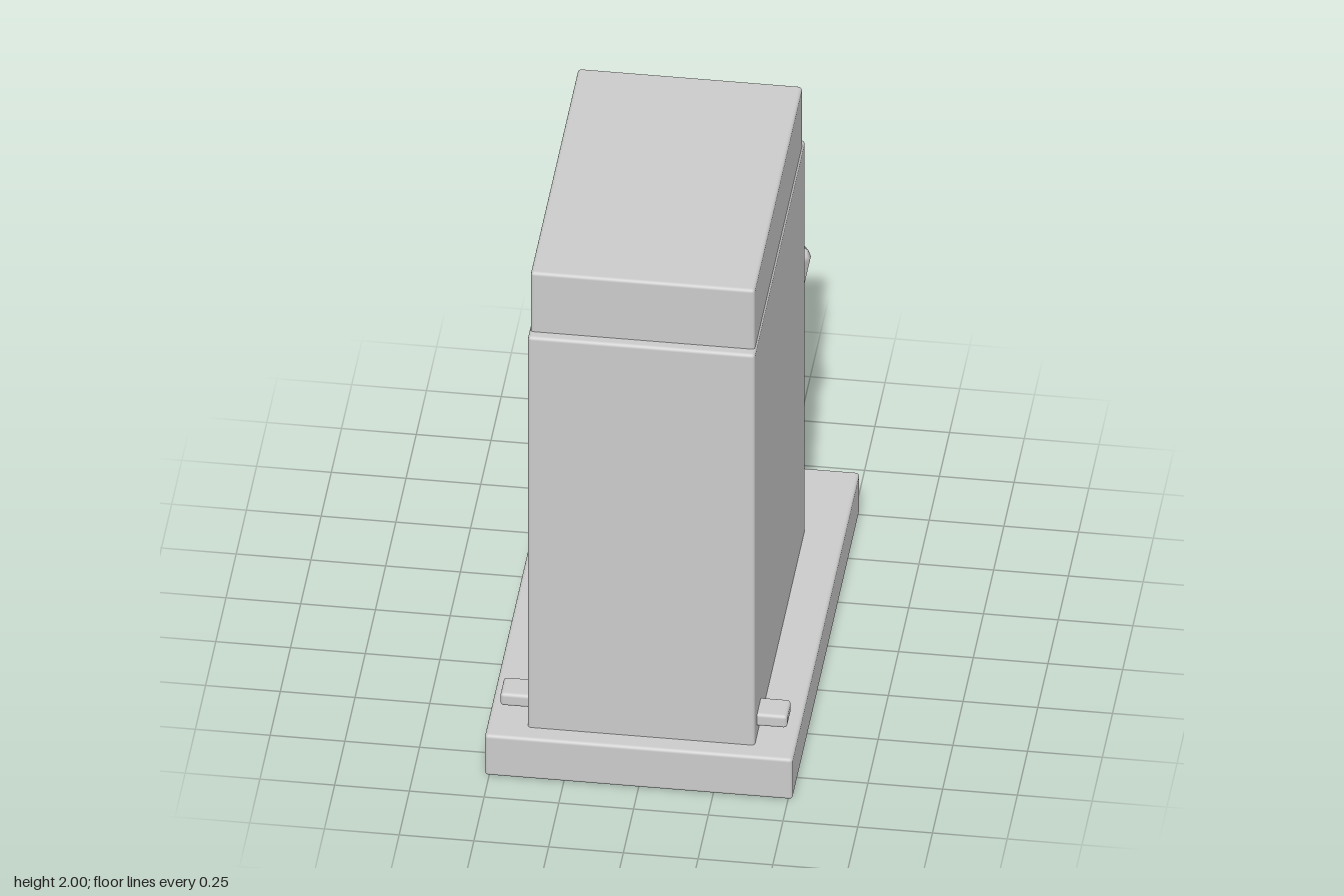
import * as THREE from 'three';
import { mergeVertices } from 'three/addons/utils/BufferGeometryUtils.js';
import { RoundedBoxGeometry } from 'three/addons/geometries/RoundedBoxGeometry.js';
import { ConvexGeometry } from 'three/addons/geometries/ConvexGeometry.js';

const material = new THREE.MeshStandardMaterial({ color: 0xcccccc });

// Box given by its limits on each axis, with softened edges
function block(name, [x0, x1], [y0, y1], [z0, z1], bevel = 0.012) {
  const geometry = new RoundedBoxGeometry(x1 - x0, y1 - y0, z1 - z0, 2, bevel);
  const mesh = new THREE.Mesh(geometry, material);
  mesh.position.set((x0 + x1) / 2, (y0 + y1) / 2, (z0 + z1) / 2);
  mesh.name = name;
  return mesh;
}

// Smooth-shaded icosahedron standing on a point, with its tips cut off
function gem(name, radius, x, y, z) {
  const corners = [new THREE.Vector3(0, radius, 0), new THREE.Vector3(0, -radius, 0)];
  const h = radius / Math.sqrt(5);
  for (let i = 0; i < 10; i++) {
    const a = (i * Math.PI) / 5;
    corners.push(new THREE.Vector3(2 * h * Math.cos(a), i % 2 ? -h : h, 2 * h * Math.sin(a)));
  }
  const points = [];
  for (const a of corners) {
    for (const b of corners) {
      if (a !== b && a.distanceTo(b) < radius * 1.1) points.push(a.clone().lerp(b, 0.05));
    }
  }
  let geometry = new ConvexGeometry(points);
  geometry.deleteAttribute('normal');
  geometry = mergeVertices(geometry, 1e-4);
  geometry.computeVertexNormals();
  const mesh = new THREE.Mesh(geometry, material);
  mesh.position.set(x, y, z);
  mesh.name = name;
  return mesh;
}

export function createModel() {
  const model = new THREE.Group();
  model.name = 'cabinet';

  // Plinth, tall cabinet and slightly smaller cap
  model.add(
    block('base', [-0.515, 0.515], [0, 0.165], [-0.765, 0.88]),
    block('body', [-0.38, 0.38], [0.15, 1.76], [-0.42, 0.815]),
    block('cap', [-0.375, 0.375], [1.74, 2], [-0.39, 0.78])
  );

  // Small pegs low on both sides near the front
  model.add(
    block('leftPeg', [0.36, 0.48], [0.2, 0.25], [0.655, 0.757]),
    block('rightPeg', [-0.48, -0.36], [0.2, 0.25], [0.655, 0.757])
  );

  // Faceted lump on the back: a large stone with a smaller one emerging from it
  const lump = new THREE.Group();
  lump.name = 'backLump';
  lump.add(gem('largeStone', 0.437, 0, 1.04, -0.5), gem('smallStone', 0.34, 0, 1.15, -0.58));
  model.add(lump);

  return model;
}
